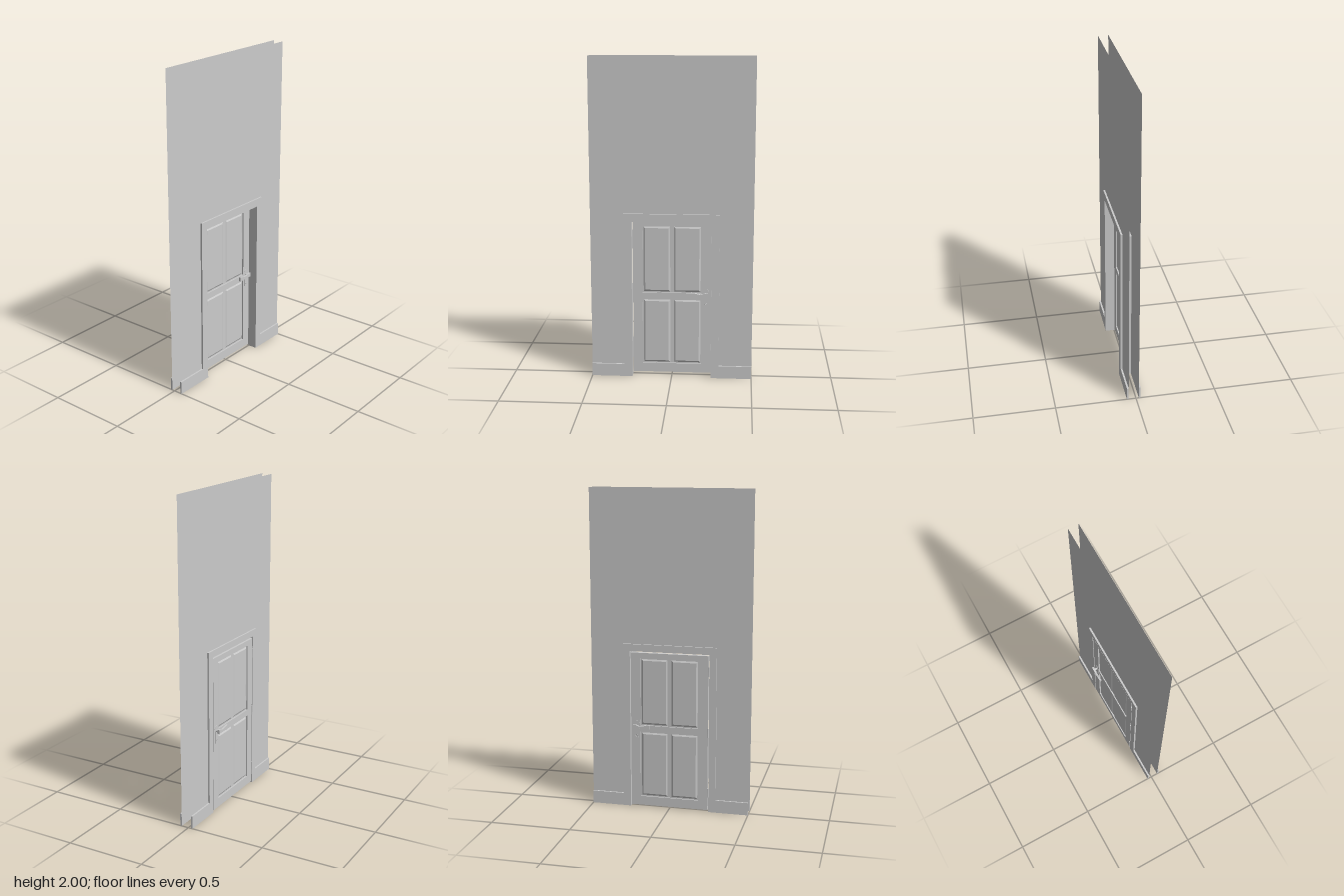
import * as THREE from 'three';

const GREY = new THREE.MeshStandardMaterial({ color: 0xcccccc, flatShading: true });
const SMOOTH = new THREE.MeshStandardMaterial({ color: 0xcccccc });
const SHEET = new THREE.MeshStandardMaterial({ color: 0xcccccc, flatShading: true, side: THREE.DoubleSide });

function add(parent, name, geometry, material = GREY) {
  const mesh = new THREE.Mesh(geometry, material);
  mesh.name = name;
  parent.add(mesh);
  return mesh;
}

const polygon = (pts) => new THREE.Shape(pts.map(([x, y]) => new THREE.Vector2(x, y)));
const rect = (x0, y0, x1, y1) => polygon([[x0, y0], [x1, y0], [x1, y1], [x0, y1]]);

// Upside-down U outline, open towards the floor
const arch = (outX, outY, inX, inY, foot) => polygon([
  [-outX, foot], [-inX, foot], [-inX, inY], [inX, inY],
  [inX, foot], [outX, foot], [outX, outY], [-outX, outY],
]);

// Extrusion between two z values
function slab(shape, z0, z1) {
  return new THREE.ExtrudeGeometry(shape, { depth: z1 - z0, bevelEnabled: false, curveSegments: 10 })
    .translate(0, 0, z0);
}

// Wall skin, casing and baseboards of one side
function wallSide(name, wallZ, trimZ, inX, inY) {
  const side = new THREE.Group();
  side.name = name;
  const z0 = Math.min(wallZ, trimZ), z1 = Math.max(wallZ, trimZ);
  const skin = new THREE.ShapeGeometry(arch(0.5, 2, 0.29, 1.045, 0));
  if (trimZ < wallZ) skin.rotateY(Math.PI);
  add(side, 'wall', skin.translate(0, 0, wallZ), SHEET);
  add(side, 'casing', slab(arch(0.295, 1.05, inX, inY, 0), z0, z1));
  for (const s of [-1, 1]) {
    const board = add(side, 'baseboard', new THREE.BoxGeometry(0.205, 0.08, z1 - z0));
    board.position.set(s * 0.3975, 0.04, (z0 + z1) / 2);
  }
  return side;
}

// Thin rebated lining: the U-shaped section is swept through the wall
function jambLining() {
  const rings = [[0.246, 1.0, 0.05], [0.246, 1.0, -0.003], [0.25, 1.008, -0.003], [0.25, 1.008, -0.024]];
  const pos = [], index = [];
  for (const [w, h, z] of rings) pos.push(-w, 0, z, -w, h, z, w, h, z, w, 0, z);
  for (let r = 0; r < rings.length - 1; r++) {
    for (let i = 0; i < 3; i++) {
      const a = r * 4 + i, b = a + 4;
      index.push(a, b, a + 1, a + 1, b, b + 1);
    }
  }
  const g = new THREE.BufferGeometry();
  g.setAttribute('position', new THREE.Float32BufferAttribute(pos, 3));
  g.setIndex(index);
  g.computeVertexNormals();
  return g;
}

const DOOR_FRONT = -0.003, DOOR_BACK = -0.028, DOOR_MID = (DOOR_FRONT + DOOR_BACK) / 2;

// Handle set on one face: s = 1 front, s = -1 back
function handleSet(s) {
  const set = new THREE.Group();
  set.name = s > 0 ? 'frontHandle' : 'backHandle';
  const x = 0.21, y = 0.53, face = 0.0125;
  const at = (a, b) => [DOOR_MID + Math.min(s * a, s * b), DOOR_MID + Math.max(s * a, s * b)];

  // Back plate with rounded ends
  const plate = new THREE.Shape();
  plate.absarc(x, y + 0.017, 0.019, 0, Math.PI);
  plate.absarc(x, 0.457, 0.014, Math.PI, Math.PI * 2);
  add(set, 'handlePlate', slab(plate, ...at(face - 0.001, face + 0.003)));

  // Keyhole ring
  const ring = add(set, 'keyhole', new THREE.TorusGeometry(0.006, 0.0015, 6, 14), SMOOTH);
  ring.position.set(x, 0.468, DOOR_MID + s * (face + 0.003));

  // Spindle
  const spindle = add(set, 'spindle', new THREE.CylinderGeometry(0.008, 0.008, 0.022, 14).rotateX(Math.PI / 2), SMOOTH);
  spindle.position.set(x, y, DOOR_MID + s * 0.023);

  // Lever flared at both ends
  const lever = new THREE.Shape();
  lever.moveTo(0.225, 0.518);
  lever.lineTo(0.225, 0.544);
  lever.quadraticCurveTo(0.203, 0.545, 0.192, 0.537);
  lever.quadraticCurveTo(0.17, 0.533, 0.148, 0.542);
  lever.lineTo(0.12, 0.545);
  lever.lineTo(0.12, 0.519);
  lever.lineTo(0.146, 0.517);
  lever.quadraticCurveTo(0.168, 0.527, 0.192, 0.524);
  lever.closePath();
  add(set, 'lever', slab(lever, ...at(0.03, 0.0425)));
  return set;
}

function door() {
  const group = new THREE.Group();
  group.name = 'door';
  const openings = [[0.07, 0.495], [0.535, 0.965]];

  // Stiles and rails
  const frame = rect(-0.244, 0.012, 0.244, 0.998);
  for (const [y0, y1] of openings) frame.holes.push(rect(-0.185, y0, 0.185, y1));
  add(group, 'doorFrame', slab(frame, DOOR_BACK, DOOR_FRONT));

  // Recessed boards carrying raised, bevelled panels on both faces
  for (const [y0, y1] of openings) {
    add(group, 'panelBoard', slab(rect(-0.186, y0 - 0.001, 0.186, y1 + 0.001), DOOR_MID - 0.004, DOOR_MID + 0.004));
    for (const s of [-1, 1]) {
      const x0 = Math.min(s * 0.022, s * 0.168), x1 = Math.max(s * 0.022, s * 0.168);
      const panel = new THREE.ExtrudeGeometry(rect(x0, y0 + 0.017, x1, y1 - 0.017), {
        depth: 0.008, bevelEnabled: true, bevelThickness: 0.005, bevelSize: 0.01, bevelSegments: 1,
      });
      add(group, 'raisedPanel', panel.translate(0, 0, DOOR_MID - 0.004));
    }
  }

  // Hinges
  for (const y of [0.125, 0.512, 0.9]) {
    const hinge = add(group, 'hinge', new THREE.CylinderGeometry(0.005, 0.005, 0.058, 12), SMOOTH);
    hinge.position.set(-0.246, y, -0.029);
  }

  group.add(handleSet(1), handleSet(-1));
  return group;
}

export function createModel() {
  const model = new THREE.Group();
  model.name = 'doorInWall';
  model.add(wallSide('frontWall', 0.046, 0.057, 0.246, 1.0));
  model.add(wallSide('backWall', -0.018, -0.029, 0.25, 1.008));
  add(model, 'jamb', jambLining(), SHEET);
  model.add(door());
  return model;
}
